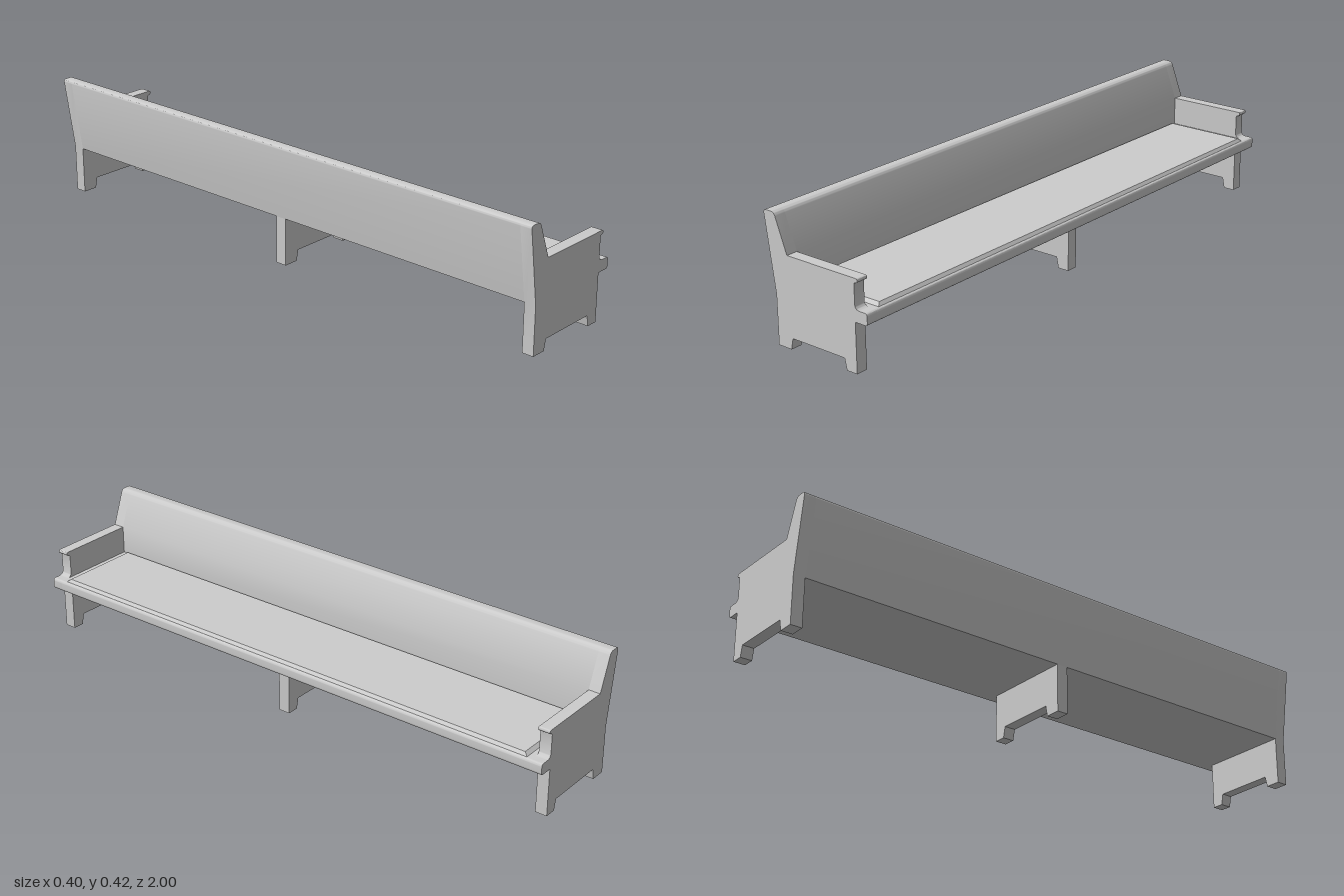
import * as THREE from 'three';
import { toCreasedNormals } from 'three/addons/utils/BufferGeometryUtils.js';

const HALF = 1, END = 0.04;

// Rounded top of the backrest, drawn from the rear edge to the front slope
function backTop(s) {
  s.lineTo(-0.201, 0.41);
  s.quadraticCurveTo(-0.201, 0.42, -0.192, 0.42);
  s.lineTo(-0.172, 0.42);
  s.quadraticCurveTo(-0.16, 0.42, -0.155, 0.408);
  s.lineTo(-0.113, 0.297);
}

// Rounded front edge of the seat board, drawn downwards
function seatNose(s) {
  s.lineTo(0.191, 0.2);
  s.quadraticCurveTo(0.2, 0.2, 0.2, 0.191);
  s.lineTo(0.2, 0.171);
  s.quadraticCurveTo(0.2, 0.162, 0.191, 0.162);
}

// Two feet with a recess between them, drawn from front to rear
function feet(s) {
  s.lineTo(0.153, 0);
  s.lineTo(0.113, 0);
  s.lineTo(0.105, 0.037);
  s.lineTo(-0.105, 0.037);
  s.lineTo(-0.113, 0);
  s.lineTo(-0.165, 0);
}

function endShape() {
  const s = new THREE.Shape();
  s.moveTo(-0.165, 0.162);
  backTop(s);
  // armrest with its small lip
  s.lineTo(0.16, 0.297);
  s.quadraticCurveTo(0.166, 0.297, 0.166, 0.291);
  s.quadraticCurveTo(0.166, 0.284, 0.16, 0.284);
  s.quadraticCurveTo(0.153, 0.284, 0.153, 0.276);
  s.lineTo(0.153, 0.215);
  s.quadraticCurveTo(0.154, 0.201, 0.17, 0.2);
  seatNose(s);
  s.lineTo(0.153, 0.162);
  feet(s);
  return s;
}

function benchShape() {
  const s = new THREE.Shape();
  s.moveTo(-0.165, 0.162);
  backTop(s);
  s.lineTo(-0.113, 0.2);
  seatNose(s);
  return s;
}

function legShape() {
  const s = new THREE.Shape();
  s.moveTo(-0.165, 0.162);
  s.lineTo(0.153, 0.162);
  feet(s);
  return s;
}

export function createModel() {
  const group = new THREE.Group();
  const grey = new THREE.MeshStandardMaterial({ color: 0xcccccc });
  grey.name = 'plain grey';

  const add = (name, geometry, z = 0) => {
    const mesh = new THREE.Mesh(toCreasedNormals(geometry, 0.6), grey);
    mesh.name = name;
    mesh.position.z = z;
    group.add(mesh);
  };
  // Slab of the given profile, centred on z
  const slab = (shape, depth) =>
    new THREE.ExtrudeGeometry(shape, { depth, bevelEnabled: false, curveSegments: 6 })
      .translate(0, 0, -depth / 2);

  // Ends, long seat and back, middle support
  for (const side of [1, -1])
    add(side > 0 ? 'frontEndPanel' : 'rearEndPanel', slab(endShape(), END), side * (HALF - END / 2));
  add('seatAndBack', slab(benchShape(), 2 * (HALF - END)));
  add('middleSupport', slab(legShape(), END));

  // Thin seat pad with sloping edges
  const pad = new THREE.BoxGeometry(0.304, 0.012, 1.89);
  const p = pad.attributes.position;
  for (let i = 0; i < p.count; i++) {
    if (p.getY(i) > 0) {
      p.setX(i, p.getX(i) - Math.sign(p.getX(i)) * 0.01);
      p.setZ(i, p.getZ(i) - Math.sign(p.getZ(i)) * 0.014);
    }
  }
  pad.translate(0.04, 0.204, 0);
  add('seatPad', pad);

  return group;
}
